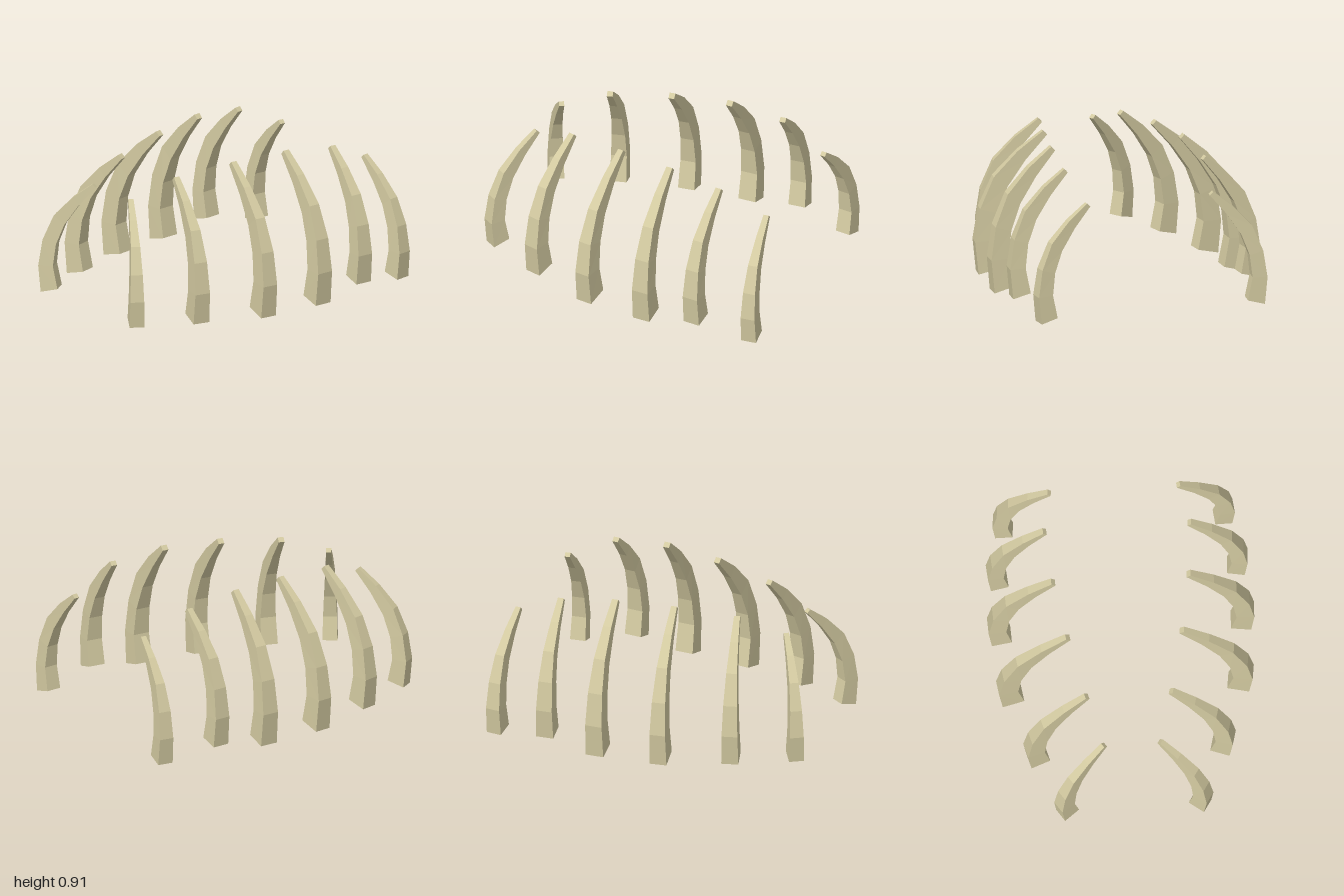
import * as THREE from 'three';

// Rib cross-sections from base to tip: outer edge, inner edge (u inward, v up), thickness
const SECTIONS = [
  { outer: [0.02, 0.0], inner: [0.145, 0.035], t: 0.115 },
  { outer: [0.0, 0.21], inner: [0.11, 0.215], t: 0.107 },
  { outer: [0.03, 0.42], inner: [0.13, 0.39], t: 0.092 },
  { outer: [0.11, 0.62], inner: [0.19, 0.555], t: 0.072 },
  { outer: [0.25, 0.78], inner: [0.295, 0.72], t: 0.054 },
  { outer: [0.395, 0.9], inner: [0.42, 0.875], t: 0.04 },
];

// Each pair of ribs, front to back: outermost x and z, base height, yaw in degrees,
// and scales for reach, height and thickness
const RIBS = [
  { x: 0.467, z: 0.957, y: 0.04, yaw: 33, reach: 0.86, height: 0.805, thick: 0.8 },
  { x: 0.642, z: 0.58, y: 0.03, yaw: 15, reach: 0.97, height: 0.93, thick: 0.92 },
  { x: 0.787, z: 0.16, y: 0.015, yaw: 8, reach: 1.08, height: 0.99, thick: 0.92 },
  { x: 0.82, z: -0.25, y: 0.015, yaw: 2, reach: 0.99, height: 1.0, thick: 1.0 },
  { x: 0.803, z: -0.585, y: 0.072, yaw: 4.5, reach: 0.88, height: 0.89, thick: 0.95 },
  { x: 0.742, z: -0.95, y: 0.005, yaw: -6, reach: 0.85, height: 0.81, thick: 0.85 },
];

// Square tapering tube through the sections, capped at the tip and open at the base
function ribGeometry(rib, side) {
  const a = THREE.MathUtils.degToRad(rib.yaw);
  const c = Math.cos(a), s = Math.sin(a);
  const corner = ([u, v], w) => [
    side * (rib.x - c * u * rib.reach - s * w),
    rib.y + v * rib.height,
    rib.z - s * u * rib.reach + c * w,
  ];
  const rings = SECTIONS.map(({ outer, inner, t }) => {
    const w = (t * rib.thick) / 2;
    return [corner(outer, w), corner(outer, -w), corner(inner, -w), corner(inner, w)];
  });

  const positions = [];
  const quad = (p, q, r, t) => {
    const order = side > 0 ? [p, q, r, p, r, t] : [p, r, q, p, t, r];
    order.forEach((point) => positions.push(...point));
  };
  for (let i = 0; i < rings.length - 1; i++) {
    for (let k = 0; k < 4; k++) {
      const n = (k + 1) % 4;
      quad(rings[i][k], rings[i][n], rings[i + 1][n], rings[i + 1][k]);
    }
  }
  quad(...rings[rings.length - 1]);

  const geometry = new THREE.BufferGeometry();
  geometry.setAttribute('position', new THREE.Float32BufferAttribute(positions, 3));
  geometry.computeVertexNormals();
  return geometry;
}

export function createModel() {
  const bone = new THREE.MeshStandardMaterial({
    color: 0xd2c9a0,
    flatShading: true,
    side: THREE.DoubleSide,
  });
  bone.name = 'bone';

  const model = new THREE.Group();
  model.name = 'ribCage';
  RIBS.forEach((rib, i) => {
    for (const side of [1, -1]) {
      const mesh = new THREE.Mesh(ribGeometry(rib, side), bone);
      mesh.name = `${side > 0 ? 'left' : 'right'}Rib${i + 1}`;
      model.add(mesh);
    }
  });
  return model;
}
